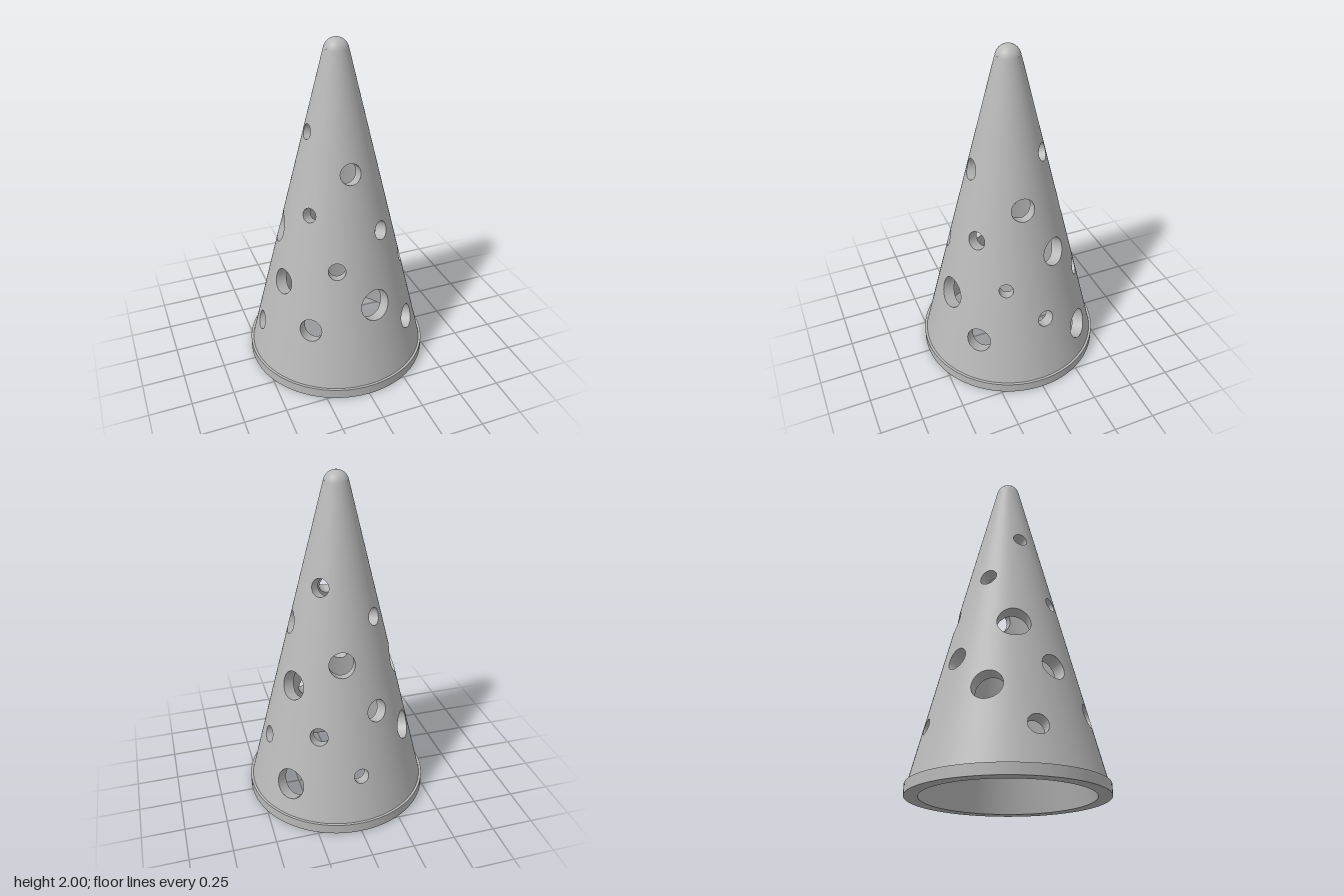
import * as THREE from 'three';

const SLOPE = 0.2475, TILT = Math.atan(SLOPE), TAU = Math.PI * 2;
const SIN = Math.sin(TILT), COS = Math.cos(TILT);
const OUTER = 0.55, INNER = 0.474;            // wall radii at y = 0
const RIM_TOP = 0.06, TIP_R = 0.07, STEPS = 28;

// Holes: azimuth in degrees (0 = front, 90 = left), height, radius
const HOLES = [
  [182.5, 0.335, 0.044], [202.6, 0.69, 0.066], [150.2, 0.575, 0.053], [130.4, 0.25, 0.092],
  [170.5, 0.99, 0.074], [234.8, 0.49, 0.086], [222.4, 1.21, 0.051], [138.2, 1.405, 0.052],
  [118, 0.825, 0.084], [97.8, 0.445, 0.05], [255.2, 0.88, 0.093], [267.4, 0.27, 0.057],
  [274, 1.5, 0.043], [85.7, 1.14, 0.068], [287.2, 0.625, 0.075], [307.3, 1.068, 0.042],
  [65.8, 0.667, 0.042], [0, 1.305, 0.061], [32.9, 0.938, 0.055], [319.7, 0.405, 0.067],
  [339.8, 0.768, 0.05], [12.3, 0.53, 0.094], [45.4, 0.325, 0.074],
];

const wrap = (a) => a - TAU * Math.round(a / TAU);
const conePoint = (base, t, y) => {
  const r = Math.max(base - SLOPE * y, 0);
  return [r * Math.sin(t), y, r * Math.cos(t)];
};

// Outline of a hole drilled square to the wall, as [angle from hole centre, height]
function outline([, y0, radius], base) {
  const pts = [];
  for (let k = 0; k < STEPS; k++) {
    const f = (k / STEPS) * TAU, v = radius * Math.sin(f);
    const x = radius * Math.cos(f);
    let y = y0 + v * COS, z = OUTER - SLOPE * y0 - v * SIN;
    for (let i = 0; i < 40; i++) {            // slide along the drill axis to the cone
      const d = (Math.hypot(x, z) - (base - SLOPE * y)) * COS;
      y -= d * SIN;
      z -= d * COS;
    }
    pts.push([Math.atan2(x, z), y]);
  }
  return pts;
}

// Lowest and highest point of an outline on the straight line at angle d
function span(pts, d) {
  let lo = Infinity, hi = -Infinity;
  pts.forEach((p, k) => {
    const q = pts[(k + 1) % pts.length];
    const a = Math.min(p[0], q[0]), b = Math.max(p[0], q[0]);
    if (d < a - 1e-7 || d > b + 1e-7) return;
    const s = b - a < 1e-9 ? 0 : THREE.MathUtils.clamp((d - p[0]) / (q[0] - p[0]), 0, 1);
    const y = p[1] + s * (q[1] - p[1]);
    lo = Math.min(lo, y);
    hi = Math.max(hi, y);
  });
  return [lo, hi];
}

function meshData() {
  const pos = [], nor = [];
  return {
    quad(p, n) {
      for (const i of [0, 1, 2, 0, 2, 3]) { pos.push(...p[i]); nor.push(...n[i]); }
    },
    geometry() {
      const g = new THREE.BufferGeometry();
      g.setAttribute('position', new THREE.Float32BufferAttribute(pos, 3));
      g.setAttribute('normal', new THREE.Float32BufferAttribute(nor, 3));
      return g;
    },
  };
}

// Pierced cone: narrow upright strips, each broken where it crosses a hole
function piercedCone(base, bottom, top, inward) {
  const holes = HOLES.map((h) => {
    const pts = outline(h, base), ds = pts.map((p) => p[0]);
    return { c: THREE.MathUtils.degToRad(h[0]), pts, min: Math.min(...ds), max: Math.max(...ds) };
  });
  let cols = [];
  for (let i = 0; i < 96; i++) cols.push((i / 96) * TAU);
  for (const h of holes) for (const p of h.pts) cols.push((h.c + p[0] + TAU) % TAU);
  cols.sort((a, b) => a - b);
  cols = cols.filter((c, i) => i === 0 || c - cols[i - 1] > 1e-8);
  cols.push(TAU);

  const data = meshData(), s = inward ? -1 : 1;
  const normal = (t) => [s * COS * Math.sin(t), s * SIN, s * COS * Math.cos(t)];
  for (let i = 0; i + 1 < cols.length; i++) {
    const a = cols[i], b = cols[i + 1], mid = (a + b) / 2;
    const gaps = [];
    for (const h of holes) {
      const d = wrap(mid - h.c);
      if (d <= h.min || d >= h.max) continue;
      const half = (b - a) / 2;
      gaps.push([span(h.pts, d - half), span(h.pts, d + half)]);
    }
    gaps.sort((g, k) => g[0][0] - k[0][0]);
    let low = [bottom, bottom];
    for (const [ga, gb] of [...gaps, [[top, top], [top, top]]]) {
      const p = [conePoint(base, a, low[0]), conePoint(base, b, low[1]),
        conePoint(base, b, gb[0]), conePoint(base, a, ga[0])];
      const n = [normal(a), normal(b), normal(b), normal(a)];
      data.quad(inward ? p.reverse() : p, inward ? n.reverse() : n);
      low = [ga[1], gb[1]];
    }
  }
  return data.geometry();
}

// Tube wall of one hole, from the outer surface to the inner one
function holeWall(hole) {
  const c = THREE.MathUtils.degToRad(hole[0]);
  const out = outline(hole, OUTER), inn = outline(hole, INNER);
  const data = meshData();
  const normal = (k) => {
    const f = (k / STEPS) * TAU;
    const x = -Math.cos(f), y = -Math.sin(f) * COS, z = Math.sin(f) * SIN;
    return [x * Math.cos(c) + z * Math.sin(c), y, z * Math.cos(c) - x * Math.sin(c)];
  };
  for (let k = 0; k < STEPS; k++) {
    const j = (k + 1) % STEPS;
    const at = (base, p) => conePoint(base, c + p[0], p[1]);
    data.quad([at(OUTER, out[k]), at(OUTER, out[j]), at(INNER, inn[j]), at(INNER, inn[k])],
      [normal(k), normal(j), normal(j), normal(k)]);
  }
  return data.geometry();
}

export function createModel() {
  const model = new THREE.Group();
  model.name = 'piercedCone';
  const grey = new THREE.MeshStandardMaterial({ color: 0xb8b8b8 });
  grey.name = 'grey';
  const add = (name, geometry, parent = model) => {
    const mesh = new THREE.Mesh(geometry, grey);
    mesh.name = name;
    parent.add(mesh);
  };

  // Shell
  const tipCentre = 2 - TIP_R;
  add('outerWall', piercedCone(OUTER, RIM_TOP, tipCentre + TIP_R * SIN, false));
  add('innerWall', piercedCone(INNER, 0, INNER / SLOPE, true));
  const holeWalls = new THREE.Group();
  holeWalls.name = 'holeWalls';
  model.add(holeWalls);
  HOLES.forEach((h) => add('holeWall', holeWall(h), holeWalls));

  // Rounded tip, tangent to the outer wall
  const dome = [];
  for (let i = 0; i <= 10; i++) {
    const a = TILT + (Math.PI / 2 - TILT) * (i / 10);
    dome.push(new THREE.Vector2(i === 10 ? 0 : TIP_R * Math.cos(a), tipCentre + TIP_R * Math.sin(a)));
  }
  add('roundedTip', new THREE.LatheGeometry(dome, 96));

  // Base rim: underside, edge and top lip
  const rim = new THREE.Group();
  rim.name = 'baseRim';
  model.add(rim);
  const profile = [[INNER, 0], [0.55, 0], [0.55, RIM_TOP], [OUTER - SLOPE * RIM_TOP, RIM_TOP]]
    .map((p) => new THREE.Vector2(...p));
  ['rimUnderside', 'rimEdge', 'rimLip'].forEach((name, i) =>
    add(name, new THREE.LatheGeometry([profile[i], profile[i + 1]], 96), rim));
  return model;
}
